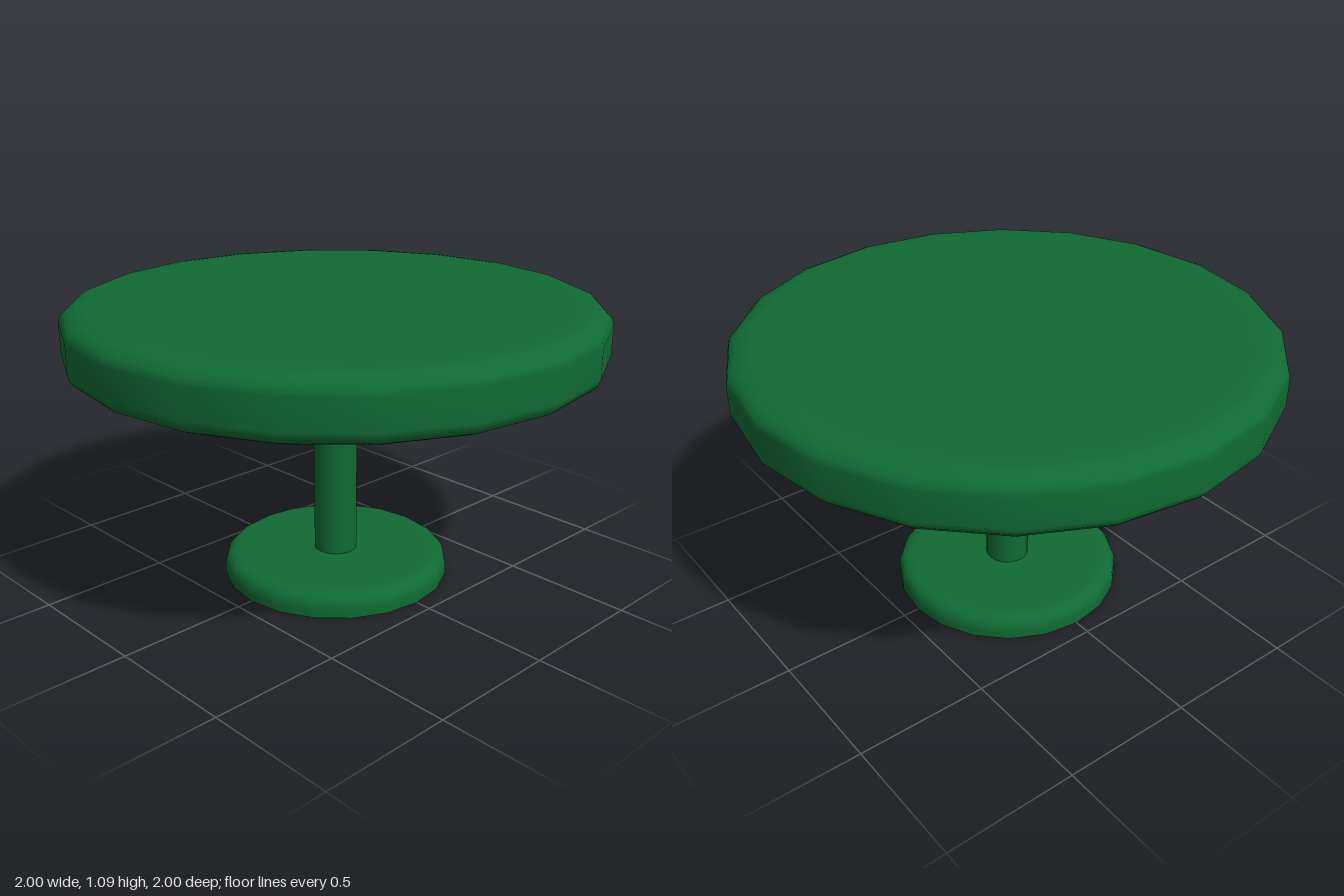
import * as THREE from 'three';

const SIDES = 20;
const POLE_R = 0.083;
const BASE_TOP = 0.087;
const TABLE_BOTTOM = 0.86;
const TABLE_TOP = 1.09;

const green = new THREE.MeshStandardMaterial({ color: 0x106b33, side: THREE.DoubleSide });

// Quarter-round corner from angle a0 to a1, as profile points
function corner(cx, cy, rx, ry, a0, a1, steps = 4) {
  return Array.from({ length: steps + 1 }, (_, i) => {
    const a = a0 + ((a1 - a0) * i) / steps;
    return [cx + rx * Math.cos(a), cy + ry * Math.sin(a)];
  });
}

function turned(name, profile) {
  const points = profile.map(([r, y]) => new THREE.Vector2(r, y));
  const mesh = new THREE.Mesh(new THREE.LatheGeometry(points, SIDES), green);
  mesh.name = name;
  return mesh;
}

export function createModel() {
  const group = new THREE.Group();
  group.name = 'pedestalTable';
  const q = Math.PI / 2;

  // Foot: open underneath, with a hole under the hollow pole
  group.add(turned('base', [
    [0.437, 0],
    [0.437, 0.025],
    ...corner(0.387, BASE_TOP - 0.05, 0.05, 0.05, 0, q),
    [0.365, BASE_TOP],
    [POLE_R, BASE_TOP],
  ]));

  // Hollow pole
  group.add(turned('pole', [[POLE_R, BASE_TOP], [POLE_R, TABLE_BOTTOM]]));

  // Thick round top with softened edges, open where the pole joins
  group.add(turned('tableTop', [
    [POLE_R, TABLE_BOTTOM],
    [0.87, TABLE_BOTTOM],
    ...corner(0.91, TABLE_BOTTOM + 0.06, 0.09, 0.06, -q, 0),
    ...corner(0.91, TABLE_TOP - 0.06, 0.09, 0.06, 0, q),
    [0.87, TABLE_TOP],
    [0, TABLE_TOP],
  ]));

  return group;
}
